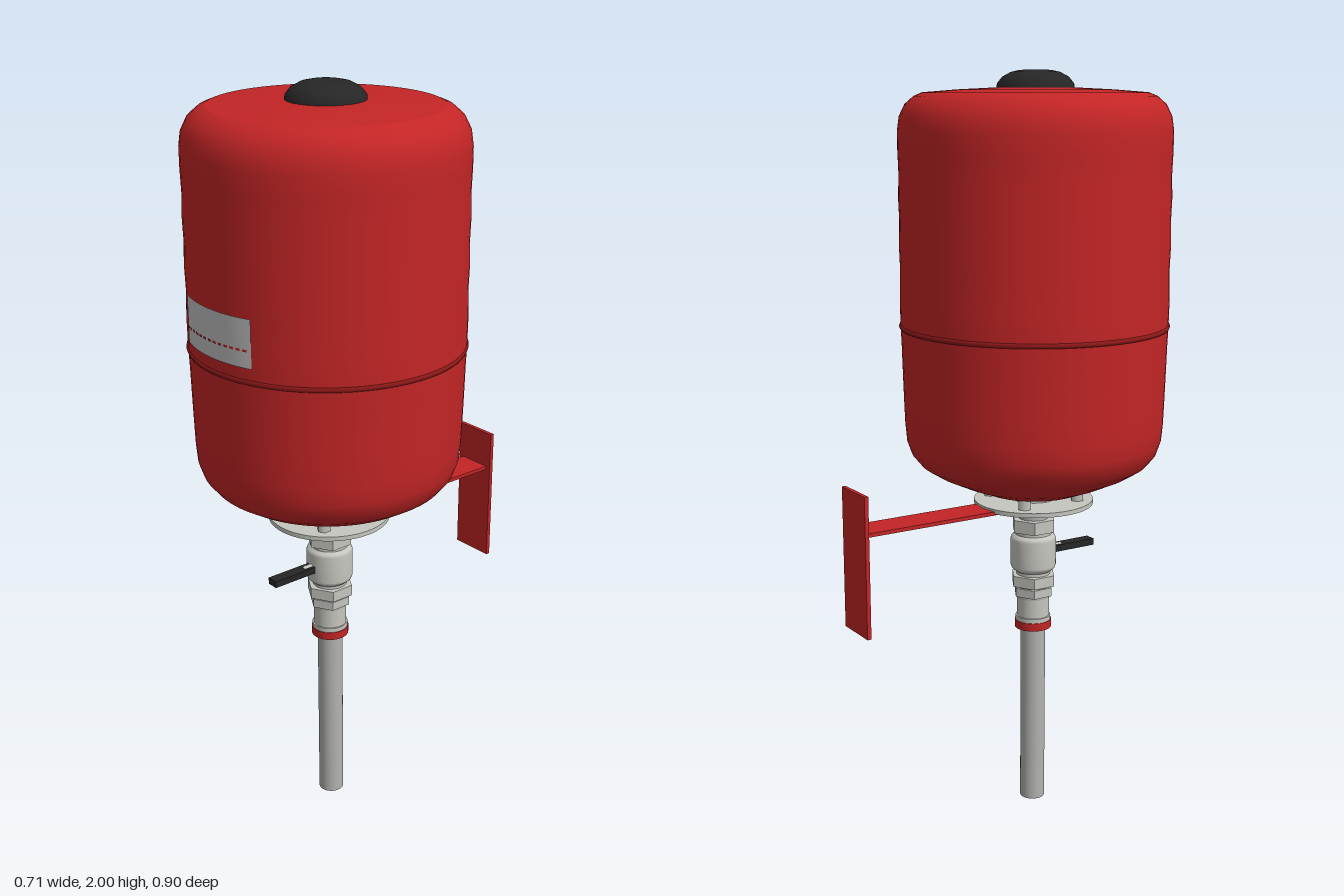
import * as THREE from 'three';

const AXIS_Z = 0.095;

export function createModel() {
  const mat = (name, color, side = THREE.FrontSide) => {
    const m = new THREE.MeshStandardMaterial({ color, side });
    m.name = name;
    return m;
  };
  const red = mat('red paint', 0xc42526);
  const darkRed = mat('seam red', 0x8e1818);
  const black = mat('black plastic', 0x262626);
  const steel = mat('pipe steel', 0xb2b2b0);
  const metal = mat('fitting metal', 0xc6c6c0);
  const paper = mat('label grey', 0xc2c2c2, THREE.DoubleSide);

  const model = new THREE.Group();
  model.name = 'expansionVessel';
  const column = new THREE.Group(); // everything on the vertical axis
  column.name = 'vesselColumn';
  column.position.z = AXIS_Z;
  model.add(column);

  const add = (parent, name, geometry, material, x = 0, y = 0, z = 0) => {
    const mesh = new THREE.Mesh(geometry, material);
    mesh.name = name;
    mesh.position.set(x, y, z);
    parent.add(mesh);
    return mesh;
  };
  const lathe = (name, pts, material) => add(column, name,
    new THREE.LatheGeometry(pts.map(([r, y]) => new THREE.Vector2(r, y)), 72), material);
  const ring = (name, y0, y1, r, material, sides = 40, rTop = r) => {
    const g = new THREE.CylinderGeometry(rTop, r, y1 - y0, sides);
    const mesh = add(column, name, g, material, 0, (y0 + y1) / 2);
    if (sides === 6) {
      mesh.geometry = g.toNonIndexed();
      mesh.geometry.computeVertexNormals();
    }
    return mesh;
  };

  // Tank shell, with faint swells in the wall
  lathe('tankShell', [
    [0, 0.88], [0.06, 0.883], [0.13, 0.9], [0.2, 0.927], [0.265, 0.957], [0.305, 0.982],
    [0.328, 1.01], [0.34, 1.045], [0.344, 1.09], [0.346, 1.15], [0.348, 1.22], [0.35, 1.3],
    [0.352, 1.35], [0.353, 1.42], [0.351, 1.5], [0.353, 1.56], [0.351, 1.62], [0.353, 1.68],
    [0.351, 1.74], [0.353, 1.8], [0.353, 1.85], [0.348, 1.885], [0.333, 1.915],
    [0.31, 1.935], [0.288, 1.944],
  ], red);
  lathe('tankLid', [[0.288, 1.944], [0.2, 1.951], [0.1, 1.956], [0, 1.957]], red);
  lathe('topCap', [[0.1, 1.95], [0.098, 1.966], [0.085, 1.982], [0.063, 1.994], [0.04, 1.999], [0, 2]], black);
  const seam = add(column, 'tankSeam', new THREE.TorusGeometry(0.348, 0.008, 8, 72), darkRed, 0, 1.35);
  seam.rotation.x = Math.PI / 2;

  // Curved label with a dashed line
  const band = (name, r, h, y, start, length, material) => add(column, name,
    new THREE.CylinderGeometry(r, r, h, 24, 1, true, start, length), material, 0, y);
  band('label', 0.355, 0.122, 1.447, -0.375, 0.75, paper);
  for (let i = 0; i < 13; i++) {
    band('labelDash', 0.357, 0.006, 1.43, -0.352 + i * 0.055, 0.034, red);
  }

  // Mounting flange and its bolts
  ring('flange', 0.864, 0.876, 0.161, metal, 64);
  for (let i = 0; i < 4; i++) {
    const a = Math.PI / 4 + i * Math.PI / 2;
    add(column, 'flangeBolt', new THREE.CylinderGeometry(0.018, 0.018, 0.05, 6), metal,
      0.12 * Math.cos(a), 0.894, 0.12 * Math.sin(a));
  }
  ring('tankNeck', 0.87, 0.9, 0.06, metal);

  // Valve and pipe fittings, from the top down
  ring('flangeCollar', 0.848, 0.864, 0.065, metal);
  ring('upperNipple', 0.815, 0.85, 0.04, steel);
  ring('upperNut', 0.785, 0.82, 0.062, metal, 6);
  ring('upperThroat', 0.765, 0.79, 0.05, metal);
  lathe('valveBody', [[0.05, 0.672], [0.059, 0.68], [0.062, 0.688], [0.062, 0.762], [0.059, 0.77], [0.05, 0.776]], metal);
  ring('lowerThroat', 0.655, 0.68, 0.046, metal);
  ring('lowerNut', 0.632, 0.662, 0.064, metal, 6);
  ring('unionNut', 0.602, 0.626, 0.056, metal, 6);
  ring('unionThroat', 0.595, 0.635, 0.045, steel);
  ring('pressSleeve', 0.53, 0.602, 0.044, metal);
  ring('sleeveRing', 0.508, 0.53, 0.05, red);
  ring('sleeveLip', 0.53, 0.542, 0.048, metal);
  ring('pipe', 0, 0.53, 0.034, steel);

  // Valve handle pointing forward
  const stem = add(column, 'handleStem', new THREE.CylinderGeometry(0.012, 0.012, 0.04, 16), metal, 0, 0.723, 0.07);
  stem.rotation.x = Math.PI / 2;
  add(column, 'valveHandle', new THREE.BoxGeometry(0.032, 0.018, 0.13), black, 0, 0.723, 0.127);

  // Wall bracket: slotted arm and back plate
  const arm = new THREE.Shape();
  arm.moveTo(-0.047, -0.03);
  arm.lineTo(0.047, -0.03);
  arm.lineTo(0.047, 0.44);
  arm.lineTo(-0.047, 0.44);
  const slot = new THREE.Path();
  slot.moveTo(-0.014, -0.015);
  slot.lineTo(-0.014, 0.055);
  slot.lineTo(0.014, 0.055);
  slot.lineTo(0.014, -0.015);
  arm.holes.push(slot);
  const armMesh = add(model, 'bracketArm',
    new THREE.ExtrudeGeometry(arm, { depth: 0.01, bevelEnabled: false }), red, 0, 0.86, 0);
  armMesh.rotation.x = -Math.PI / 2;
  add(model, 'wallPlate', new THREE.BoxGeometry(0.124, 0.376, 0.011), red, 0, 0.783, -0.4435);

  return model;
}
